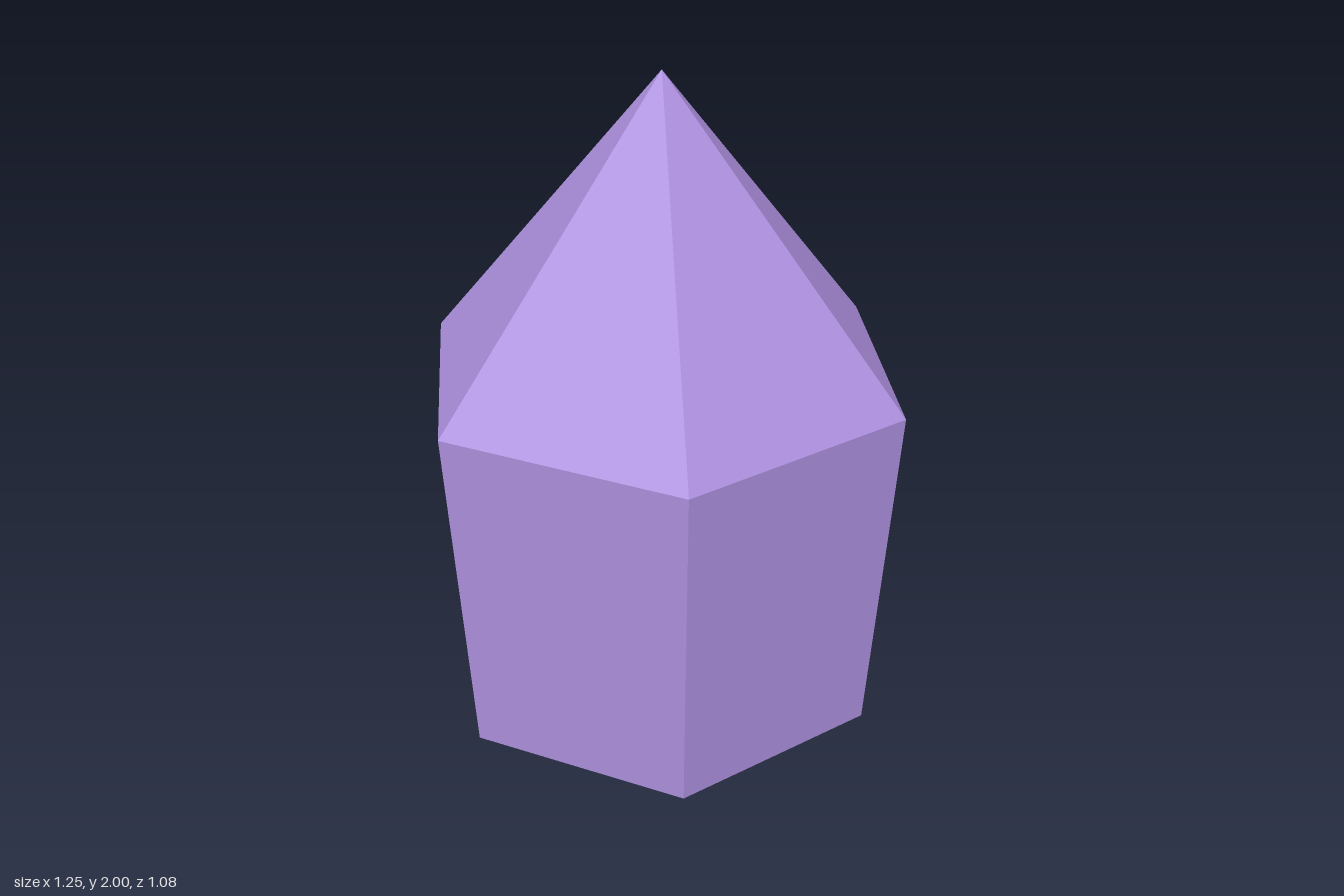
import * as THREE from 'three';

export function createModel() {
  const group = new THREE.Group();
  group.name = 'crystal';

  const violet = new THREE.MeshStandardMaterial({ color: 0xae91e0, flatShading: true });
  violet.name = 'violet';

  // Six-sided open section with corners on the x axis
  const addSection = (name, topRadius, bottomRadius, bottom, top) => {
    const geometry = new THREE.CylinderGeometry(
      topRadius, bottomRadius, top - bottom, 6, 1, true, Math.PI / 6);
    const mesh = new THREE.Mesh(geometry, violet);
    mesh.name = name;
    mesh.position.y = (top + bottom) / 2;
    group.add(mesh);
  };

  addSection('lowerPoint', 0.5625, 0, 0, 0.375);
  addSection('body', 0.6225, 0.5625, 0.375, 1.25);
  addSection('upperPoint', 0, 0.6225, 1.25, 2);

  return group;
}
